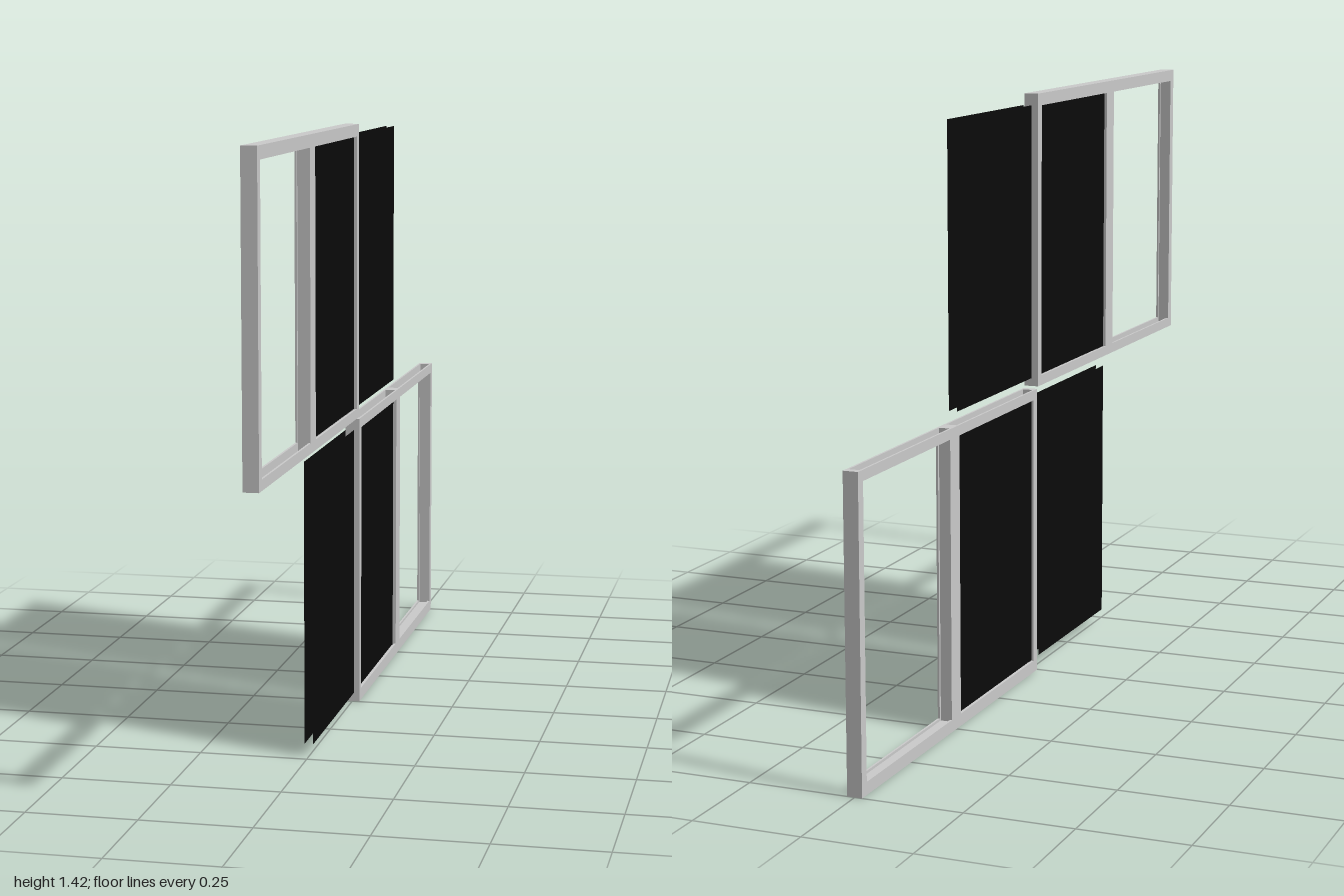
import * as THREE from 'three';

const MID = 0.7085;    // half of the total height
const HALF = 0.0175;   // half of the frame depth
const SKIN = 0.005;    // thickness of each face plate
const GROOVE = 0.006;  // depth of the track around each opening

const grey = new THREE.MeshStandardMaterial({ color: 0xcccccc });
const black = new THREE.MeshStandardMaterial({ color: 0x0a0a0a, side: THREE.DoubleSide });

// Frame outline and openings, with u running along -z
const Z0 = 0.003, Z1 = 1, TOP = 0.706;
const openings = [[0.026, 0.475], [0.527, 0.976]];
const SILL = 0.029, HEAD = 0.682;

function rect(Type, u0, v0, u1, v1) {
  const p = new Type();
  p.moveTo(u0, v0);
  p.lineTo(u1, v0);
  p.lineTo(u1, v1);
  p.lineTo(u0, v1);
  p.closePath();
  return p;
}

// Two face plates with a spacer between them, open along the top edge
function makeFrame(name) {
  const frame = new THREE.Group();
  frame.name = name;

  const outline = rect(THREE.Shape, Z0, 0, Z1, TOP);
  for (const [a, b] of openings) outline.holes.push(rect(THREE.Path, a, SILL, b, HEAD));
  const plate = new THREE.ExtrudeGeometry(outline, { depth: SKIN, bevelEnabled: false });
  plate.rotateY(Math.PI / 2);
  for (const x of [-HALF, HALF - SKIN]) {
    const mesh = new THREE.Mesh(plate, grey);
    mesh.name = 'facePlate';
    mesh.position.x = x;
    frame.add(mesh);
  }

  const [[a, b], [c, d]] = openings;
  const spacers = [
    ['innerJamb', Z0, a - GROOVE, 0, TOP],
    ['mullion', b + GROOVE, c - GROOVE, SILL - GROOVE, TOP],
    ['outerJamb', d + GROOVE, Z1, 0, TOP],
    ['outerRail', a - GROOVE, d + GROOVE, 0, SILL - GROOVE],
  ];
  for (const [part, u0, u1, v0, v1] of spacers) {
    const box = new THREE.BoxGeometry(2 * (HALF - SKIN), v1 - v0, u1 - u0);
    const mesh = new THREE.Mesh(box, grey);
    mesh.name = part;
    mesh.position.set(0, (v0 + v1) / 2, -(u0 + u1) / 2);
    frame.add(mesh);
  }
  return frame;
}

// Panel made of two thin black sheets
function makePanel(name, z0, z1, y0, y1) {
  const panel = new THREE.Group();
  panel.name = name;
  for (const side of [-1, 1]) {
    const sheet = new THREE.Mesh(new THREE.PlaneGeometry(z1 - z0, y1 - y0), black);
    sheet.name = 'sheet';
    sheet.rotation.y = side * Math.PI / 2;
    sheet.position.set(side * 0.01, (y0 + y1) / 2, (z0 + z1) / 2);
    panel.add(sheet);
  }
  return panel;
}

export function createModel() {
  const model = new THREE.Group();
  model.name = 'slidingPanelFrames';

  // The upper frame is the lower one turned half way round the x axis
  const upper = makeFrame('upperFrame');
  upper.rotation.x = Math.PI;
  upper.position.y = 2 * MID;
  model.add(makeFrame('lowerFrame'), upper);

  // One panel inside each frame and one loose beside it
  for (const [level, y0, y1] of [['lower', 0.029, 0.683], ['upper', 0.735, 1.391]]) {
    model.add(makePanel(level + 'FrontPanel', 0.027, 0.477, y0, y1));
    model.add(makePanel(level + 'BackPanel', -0.471, -0.021, y0, y1));
  }
  return model;
}
